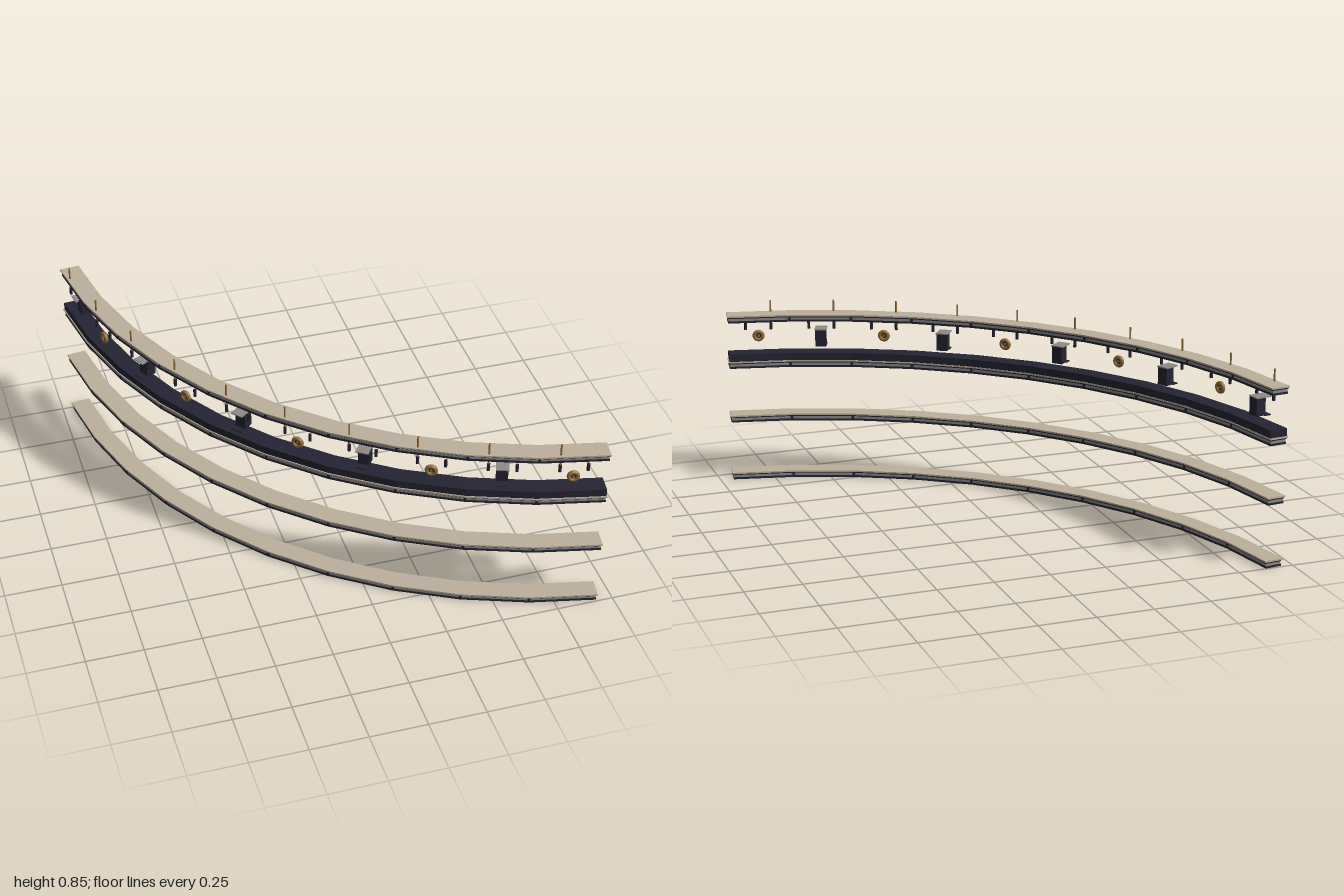
import * as THREE from 'three';

const paint = (name, color) => {
  const m = new THREE.MeshStandardMaterial({ color });
  m.name = name;
  return m;
};

export function createModel() {
  const model = new THREE.Group();
  model.name = 'curvedGallery';
  const stone = paint('stone', 0xbdb09c);
  const steel = paint('steel', 0x8f8c88);
  const dark = paint('darkMetal', 0x252433);
  const brass = paint('brass', 0x96713c);

  // Everything is laid out on a 75 degree arc around one centre.
  const CX = 1.284, CZ = -1.228, START = 6, STEP = 7.5, COUNT = 10;
  const rad = THREE.MathUtils.degToRad;

  const add = (parent, name, geo, mat, x = 0, y = 0, z = 0) => {
    const mesh = new THREE.Mesh(geo, mat);
    mesh.name = name;
    mesh.position.set(x, y, z);
    parent.add(mesh);
    return mesh;
  };

  // Faceted curved band between two radii and two heights
  function band(parent, name, mat, r0, r1, y0, y1, inset = 0) {
    const pts = [];
    const at = (r, i) => {
      const trim = i === 0 ? inset : i === COUNT ? -inset : 0;
      const t = rad(START + STEP * i + trim);
      return new THREE.Vector2(CX - r * Math.cos(t), -(CZ + r * Math.sin(t)));
    };
    for (let i = 0; i <= COUNT; i++) pts.push(at(r1, i));
    for (let i = COUNT; i >= 0; i--) pts.push(at(r0, i));
    const geo = new THREE.ExtrudeGeometry(new THREE.Shape(pts), { depth: y1 - y0, bevelEnabled: false });
    geo.rotateX(-Math.PI / 2);
    add(parent, name, geo, mat, 0, y0, 0);
  }

  // Group at a place on the arc: local +z points outward, x runs along the arc
  function onArc(name, segment, fraction, r, y) {
    const t = rad(START + STEP * (segment + fraction));
    const g = new THREE.Group();
    g.name = name;
    g.position.set(CX - r * Math.cos(t), y, CZ + r * Math.sin(t));
    g.rotation.y = t - Math.PI / 2;
    model.add(g);
    return g;
  }

  // Four curved decks: dark base, steel band, dark rail and stone top
  [0, 0.28, 0.54, 0.757].forEach((y, level) => {
    const deck = new THREE.Group();
    deck.name = 'deck' + (level + 1);
    model.add(deck);
    band(deck, 'deckBase', dark, 2.172, 2.248, y, y + 0.009, 0.1);
    band(deck, 'deckBand', steel, 2.175, 2.245, y + 0.009, y + 0.021, 0.15);
    band(deck, 'deckRail', dark, 2.172, 2.248, y + 0.021, y + 0.027, 0.1);
    band(deck, 'deckTop', stone, 2.167, 2.254, y + 0.027, y + 0.034);
    // Joint plates on the outer and inner sides
    for (let i = 1; i < COUNT; i++) {
      for (const r of [2.245, 2.175]) {
        const joint = onArc('jointPlate', i, 0, r, y + 0.015);
        add(joint, 'joint', new THREE.BoxGeometry(0.012, 0.014, 0.005), dark);
      }
    }
  });

  // Dark slab lying on the third deck
  band(model, 'darkSlab', dark, 2.169, 2.25, 0.574, 0.608, 0.1);

  // Fittings repeated in each segment of the top deck
  const post = new THREE.CylinderGeometry(0.004, 0.004, 0.11, 8);
  const lamp = new THREE.CylinderGeometry(0.007, 0.007, 0.034, 10);
  for (let i = 0; i < COUNT; i++) {
    const left = onArc('postLamp', i, 0.3, 2.236, 0);
    add(left, 'post', post, brass, 0, 0.79, 0);
    add(left, 'lamp', lamp, dark, 0, 0.724, 0);
    const right = onArc('hangingLamp', i, 0.7, 2.236, 0);
    add(right, 'lamp', lamp, dark, 0, 0.724, 0);

    if (i % 2 === 0) {
      // Box unit with top plate and outer foot
      const unit = onArc('boxUnit', i, 0.5, 2.197, 0);
      add(unit, 'housing', new THREE.BoxGeometry(0.05, 0.078, 0.046), dark, 0, 0.675, 0);
      add(unit, 'topPlate', new THREE.BoxGeometry(0.056, 0.005, 0.075), steel, 0, 0.716, 0.012);
      add(unit, 'foot', new THREE.BoxGeometry(0.05, 0.005, 0.03), dark, 0, 0.635, 0.037);
    } else {
      // Brass wheel facing outward
      const wheel = onArc('wheel', i, 0.5, 2.234, 0.678);
      add(wheel, 'rim', new THREE.TorusGeometry(0.019, 0.009, 10, 24), brass);
      const plate = add(wheel, 'wheelPlate', new THREE.CylinderGeometry(0.014, 0.014, 0.006, 20), dark);
      const hub = add(wheel, 'hub', new THREE.CylinderGeometry(0.006, 0.006, 0.014, 12), brass);
      plate.rotation.x = hub.rotation.x = Math.PI / 2;
    }
  }
  return model;
}
